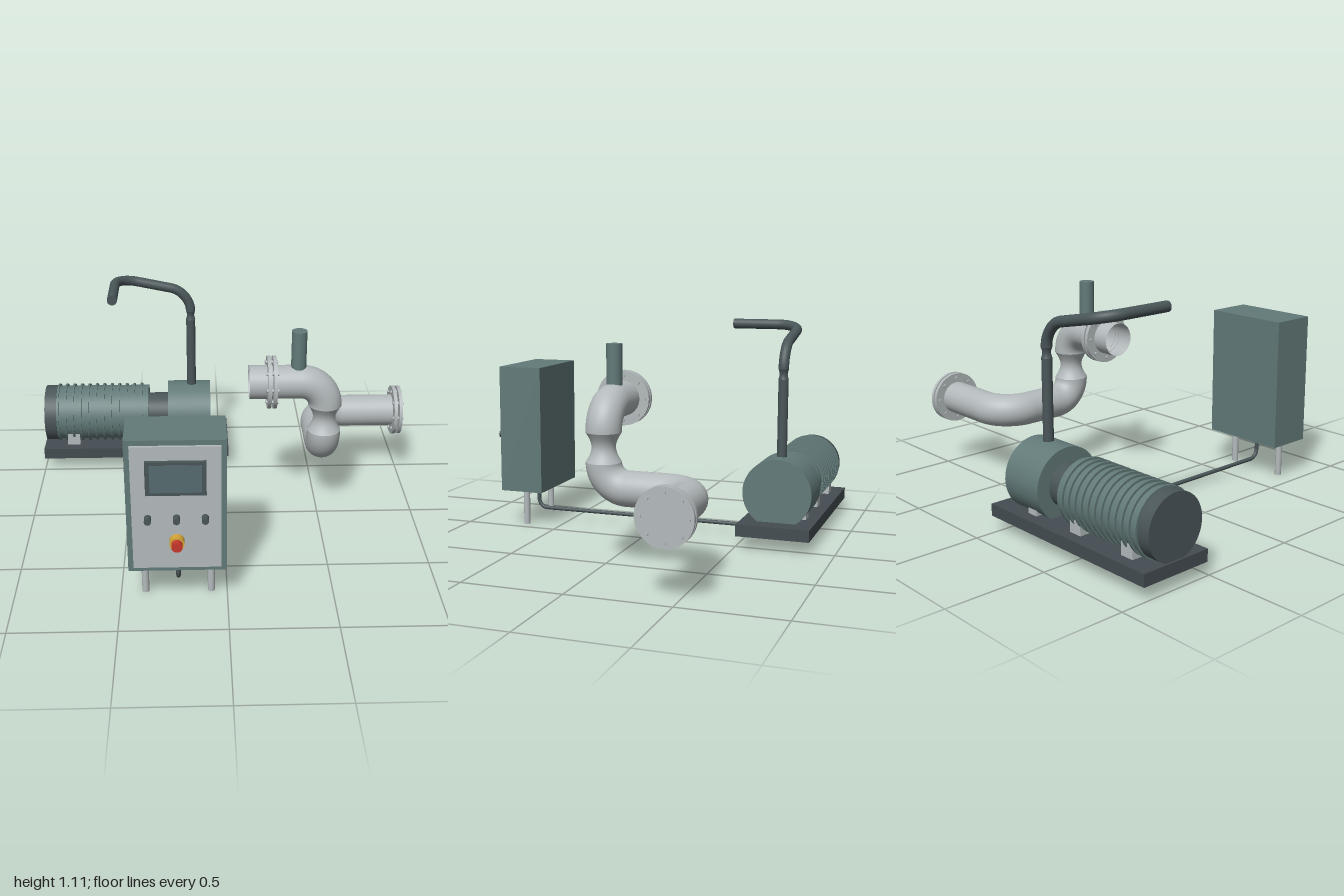
import * as THREE from 'three';

const V = (x, y, z) => new THREE.Vector3(x, y, z);
const mat = (color) => new THREE.MeshStandardMaterial({ color, side: THREE.DoubleSide });
const teal = mat(0x627a79), dark = mat(0x4a5659), deep = mat(0x444d52);
const steel = mat(0xb4babc), red = mat(0xc8382c), yellow = mat(0xd8a838), glass = mat(0x566b70);

export function createModel() {
  const root = new THREE.Group();

  const group = (name) => {
    const g = new THREE.Group();
    g.name = name;
    root.add(g);
    return g;
  };
  const add = (parent, name, geo, material) => {
    const m = new THREE.Mesh(geo, material);
    m.name = name;
    parent.add(m);
    return m;
  };
  // box given by its limits on each axis
  const box = (parent, name, x0, x1, y0, y1, z0, z1, material) =>
    add(parent, name, new THREE.BoxGeometry(x1 - x0, y1 - y0, z1 - z0), material)
      .position.set((x0 + x1) / 2, (y0 + y1) / 2, (z0 + z1) / 2);
  // cylinder between two points
  const rod = (parent, name, a, b, r, material, sides = 32) => {
    const m = add(parent, name, new THREE.CylinderGeometry(r, r, a.distanceTo(b), sides), material);
    m.position.copy(a).lerp(b, 0.5);
    m.quaternion.setFromUnitVectors(V(0, 1, 0), b.clone().sub(a).normalize());
  };
  // tube along a polyline with rounded corners
  const pipe = (parent, name, pts, bend, r, material, sides = 32) => {
    const path = new THREE.CurvePath();
    let from = pts[0];
    for (let i = 1; i < pts.length - 1; i++) {
      const p = pts[i];
      const a = p.clone().addScaledVector(pts[i - 1].clone().sub(p).normalize(), bend[i - 1]);
      const b = p.clone().addScaledVector(pts[i + 1].clone().sub(p).normalize(), bend[i - 1]);
      if (from.distanceTo(a) > 1e-3) path.add(new THREE.LineCurve3(from, a));
      path.add(new THREE.CubicBezierCurve3(a, a.clone().lerp(p, 0.55), b.clone().lerp(p, 0.55), b));
      from = b;
    }
    path.add(new THREE.LineCurve3(from, pts[pts.length - 1]));
    add(parent, name, new THREE.TubeGeometry(path, 100, r, sides), material);
  };
  // narrowed vertical neck joining two tubes
  const neck = (parent, name, x, z, y0, y1, r, rMin, material) => {
    const profile = [];
    for (let i = 0; i <= 12; i++) {
      const t = i / 12;
      const k = Math.sin(Math.PI * t);
      profile.push(new THREE.Vector2(r - (r - rMin) * k, y0 + (y1 - y0) * t));
    }
    add(parent, name, new THREE.LatheGeometry(profile, 32), material).position.set(x, 0, z);
  };

  // Pump set on its base plate
  const pump = group('pumpSet');
  const ay = 0.27, az = -0.693;
  const drum = (name, x0, x1, r, material) => rod(pump, name, V(x0, ay, az), V(x1, ay, az), r, material, 48);
  box(pump, 'basePlate', -1, 0.045, 0.065, 0.125, -0.88, -0.51, deep);
  drum('motorEndCap', -0.99, -0.925, 0.155, dark);
  drum('motorBody', -0.925, -0.405, 0.152, teal);
  for (let i = 0; i < 12; i++) {
    const x = -0.917 + i * 0.0428;
    drum('coolingFin', x - 0.006, x + 0.006, 0.163, teal);
  }
  drum('coupling', -0.405, -0.295, 0.107, dark);
  drum('pumpHousing', -0.295, -0.055, 0.175, teal);
  for (const x of [-0.835, -0.5])
    for (const s of [-1, 1])
      box(pump, 'motorFoot', x - 0.035, x + 0.035, 0.125, 0.2, az + s * 0.1 - 0.03, az + s * 0.1 + 0.03, steel);
  box(pump, 'pumpFoot', -0.225, -0.165, 0.125, 0.16, az - 0.13, az + 0.13, steel);

  // Outlet riser and hose
  const outlet = group('outletHose');
  rod(outlet, 'riser', V(-0.16, 0.42, -0.693), V(-0.16, 0.835, -0.693), 0.025, dark, 24);
  neck(outlet, 'hoseNeck', -0.16, -0.693, 0.835, 0.885, 0.026, 0.02, dark);
  pipe(outlet, 'hose', [V(-0.16, 0.885, -0.693), V(-0.16, 0.995, -0.693), V(-0.562, 1.08, -0.693), V(-0.562, 1.08, -0.33)],
    [0.109, 0.12], 0.026, dark, 20);
  rod(outlet, 'hoseEnd', V(-0.562, 1.08, -0.335), V(-0.562, 1.08, -0.329), 0.026, dark, 20);

  // Control cabinet
  const cabinet = group('controlCabinet');
  const cx = -0.23;
  box(cabinet, 'cabinetBody', -0.455, -0.005, 0.19, 0.86, 0.57, 0.805, teal);
  box(cabinet, 'frontPanel', -0.43, -0.03, 0.215, 0.835, 0.8, 0.818, steel);
  box(cabinet, 'screenBezel', cx - 0.135, cx + 0.135, 0.602, 0.768, 0.815, 0.835, dark);
  box(cabinet, 'screen', cx - 0.115, cx + 0.115, 0.618, 0.753, 0.82, 0.838, glass);
  for (const dx of [-0.128, 0, 0.128])
    rod(cabinet, 'button', V(cx + dx, 0.48, 0.817), V(cx + dx, 0.48, 0.857), 0.016, dark, 20);
  rod(cabinet, 'stopButtonCollar', V(cx, 0.36, 0.817), V(cx, 0.36, 0.853), 0.034, yellow);
  rod(cabinet, 'stopButton', V(cx, 0.36, 0.85), V(cx, 0.36, 0.88), 0.025, red);
  for (const dx of [-0.155, 0.155])
    rod(cabinet, 'leg', V(cx + dx, 0, 0.69), V(cx + dx, 0.2, 0.69), 0.017, steel, 16);

  // Cable from the cabinet to the base plate
  pipe(group('cable'), 'cableRun', [V(cx, 0.2, 0.69), V(cx, 0.057, 0.69), V(cx, 0.057, -0.69), V(cx, 0.09, -0.69)],
    [0.05, 0.03], 0.0105, dark, 12);

  // Large flanged pipe
  const main = group('flangedPipe');
  const R = 0.085, px = 0.516;
  pipe(main, 'upperPipe', [V(0.13, 0.762, 0), V(px, 0.762, 0), V(px, 0.635, 0)], [0.126], R, steel, 40);
  neck(main, 'pipeNeck', px, 0, 0.495, 0.635, R, 0.057, steel);
  pipe(main, 'lowerPipe', [V(px, 0.495, 0), V(px, 0.375, 0), V(px, 0.375, -0.457), V(0.97, 0.375, -0.457)],
    [0.119, 0.15], R, steel, 40);
  rod(main, 'branchStub', V(0.377, 0.77, 0), V(0.377, 1.035, 0), 0.038, teal);

  // Bolted flange pair; an open pair has holes for the pipe
  const ring = new THREE.Shape().absarc(0, 0, 0.133, 0, Math.PI * 2);
  ring.holes.push(new THREE.Path().absarc(0, 0, R - 0.002, 0, Math.PI * 2, true));
  const ringGeo = new THREE.ExtrudeGeometry(ring, { depth: 0.018, bevelEnabled: false, curveSegments: 40 });
  ringGeo.rotateY(Math.PI / 2);
  const flange = (x, y, z, blind) => {
    add(main, 'flangeRing', ringGeo, steel).position.set(x - 0.023, y, z);
    if (blind) rod(main, 'blindFlange', V(x + 0.005, y, z), V(x + 0.023, y, z), 0.133, steel, 48);
    else add(main, 'flangeRing', ringGeo, steel).position.set(x + 0.005, y, z);
    for (let i = 0; i < 8; i++) {
      const a = i * Math.PI / 4;
      const by = y + 0.108 * Math.cos(a), bz = z + 0.108 * Math.sin(a);
      rod(main, 'flangeBolt', V(x - 0.031, by, bz), V(x + 0.031, by, bz), 0.009, steel, 10);
    }
  };
  flange(0.243, 0.762, 0, false);
  flange(0.969, 0.375, -0.457, true);

  return root;
}
